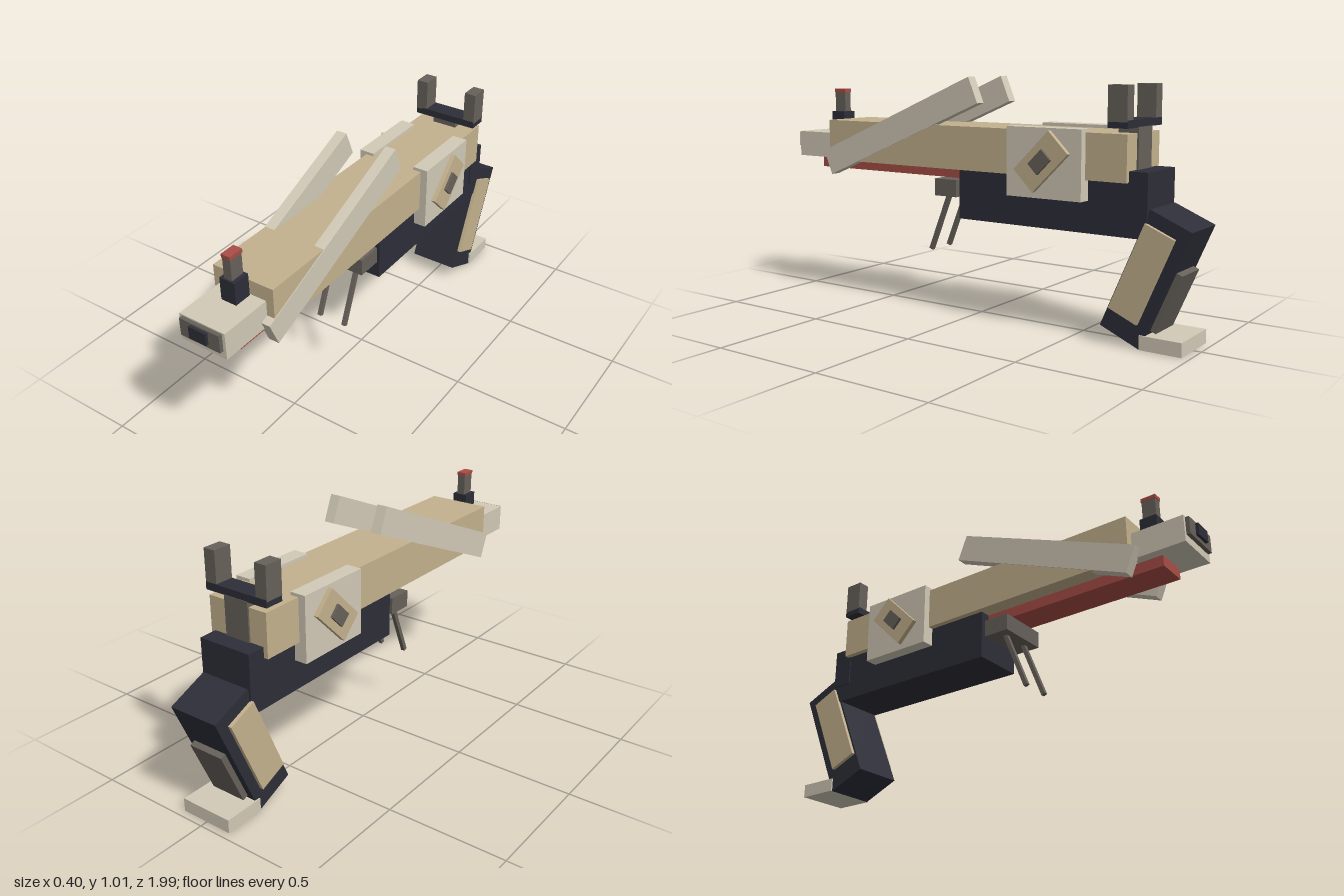
import * as THREE from 'three';

const mat = (name, color) => {
  const m = new THREE.MeshStandardMaterial({ color });
  m.name = name;
  return m;
};

export function createModel() {
  const tan = mat('tan', 0xc4b28e);
  const bone = mat('bone', 0xd2cab7);
  const steel = mat('steel grey', 0x67615a);
  const dark = mat('dark navy', 0x2d2e38);
  const red = mat('red', 0xa84e46);

  const root = new THREE.Group();
  root.name = 'foldingPistol';

  // Box from [min, max] ranges on each axis
  const block = (name, material, [x0, x1], [y0, y1], [z0, z1], parent = root) => {
    const mesh = new THREE.Mesh(new THREE.BoxGeometry(x1 - x0, y1 - y0, z1 - z0), material);
    mesh.position.set((x0 + x1) / 2, (y0 + y1) / 2, (z0 + z1) / 2);
    mesh.name = name;
    parent.add(mesh);
    return mesh;
  };
  // Box centred on x = 0
  const mid = (name, material, halfWidth, y, z, parent = root) =>
    block(name, material, [-halfWidth, halfWidth], y, z, parent);
  // Left and right copies of a box, tilted about the x axis
  const pair = (name, material, [x0, x1], [h, d], [y, z], tilt = 0) => {
    for (const [side, s] of [['left', 1], ['right', -1]]) {
      const mesh = new THREE.Mesh(new THREE.BoxGeometry(x1 - x0, h, d), material);
      mesh.position.set(s * (x0 + x1) / 2, y, z);
      mesh.rotation.x = tilt;
      mesh.name = side + name;
      root.add(mesh);
    }
  };

  // Slide and frame
  mid('slide', tan, 0.137, [0.632, 0.812], [-0.745, 0.75]);
  mid('frame', dark, 0.113, [0.425, 0.634], [-0.82, 0.035]);
  mid('tang', dark, 0.118, [0.5, 0.675], [-0.822, -0.73]);
  mid('guideRod', red, 0.067, [0.588, 0.634], [0.0, 0.86]);

  // Muzzle
  mid('muzzle', bone, 0.103, [0.637, 0.75], [0.74, 0.972]);
  mid('muzzlePlate', steel, 0.09, [0.67, 0.745], [0.96, 0.988]);
  mid('bore', dark, 0.039, [0.687, 0.738], [0.98, 1.0]);

  // Front sight
  mid('frontSightBase', dark, 0.034, [0.74, 0.845], [0.756, 0.83]);
  mid('frontSightPost', steel, 0.018, [0.84, 0.935], [0.763, 0.823]);
  mid('frontSightTip', red, 0.02, [0.932, 0.948], [0.76, 0.826]);

  // Rear sight
  mid('rearPlate', steel, 0.056, [0.64, 0.835], [-0.752, -0.668]);
  mid('rearSightBar', dark, 0.146, [0.833, 0.863], [-0.75, -0.668]);
  pair('RearSightPost', steel, [0.095, 0.147], [0.136, 0.08], [0.924, -0.708]);

  // Raised side arms
  pair('Arm', bone, [0.094, 0.14], [0.115, 0.882], [0.79, 0.354], 0.398);

  // Side plates with tilted bosses
  pair('SidePlate', bone, [0.1, 0.168], [0.274, 0.335], [0.688, -0.405]);
  pair('Boss', tan, [0.16, 0.188], [0.22, 0.122], [0.695, -0.404], -Math.PI / 4);
  pair('BossPin', steel, [0.18, 0.199], [0.083, 0.058], [0.695, -0.404], -Math.PI / 4);

  // Trigger block and rods
  mid('triggerBlock', steel, 0.113, [0.512, 0.584], [0.053, 0.165]);
  pair('TriggerRod', steel, [0.053, 0.071], [0.275, 0.018], [0.395, 0.171], -0.38);

  // Raked grip
  const grip = new THREE.Group();
  grip.name = 'grip';
  grip.position.set(0, 0.2725, -0.813);
  grip.rotation.x = -0.403;
  root.add(grip);
  mid('gripCore', dark, 0.109, [-0.2525, 0.2525], [-0.09, 0.09], grip);
  mid('backStrap', steel, 0.078, [-0.175, 0.078], [-0.1145, -0.08], grip);
  pair('GripPanel', tan, [0.1, 0.125], [0.366, 0.129], [0.295, -0.803], -0.403);
  mid('basePlate', bone, 0.115, [0.006, 0.062], [-0.97, -0.798]);

  return root;
}
